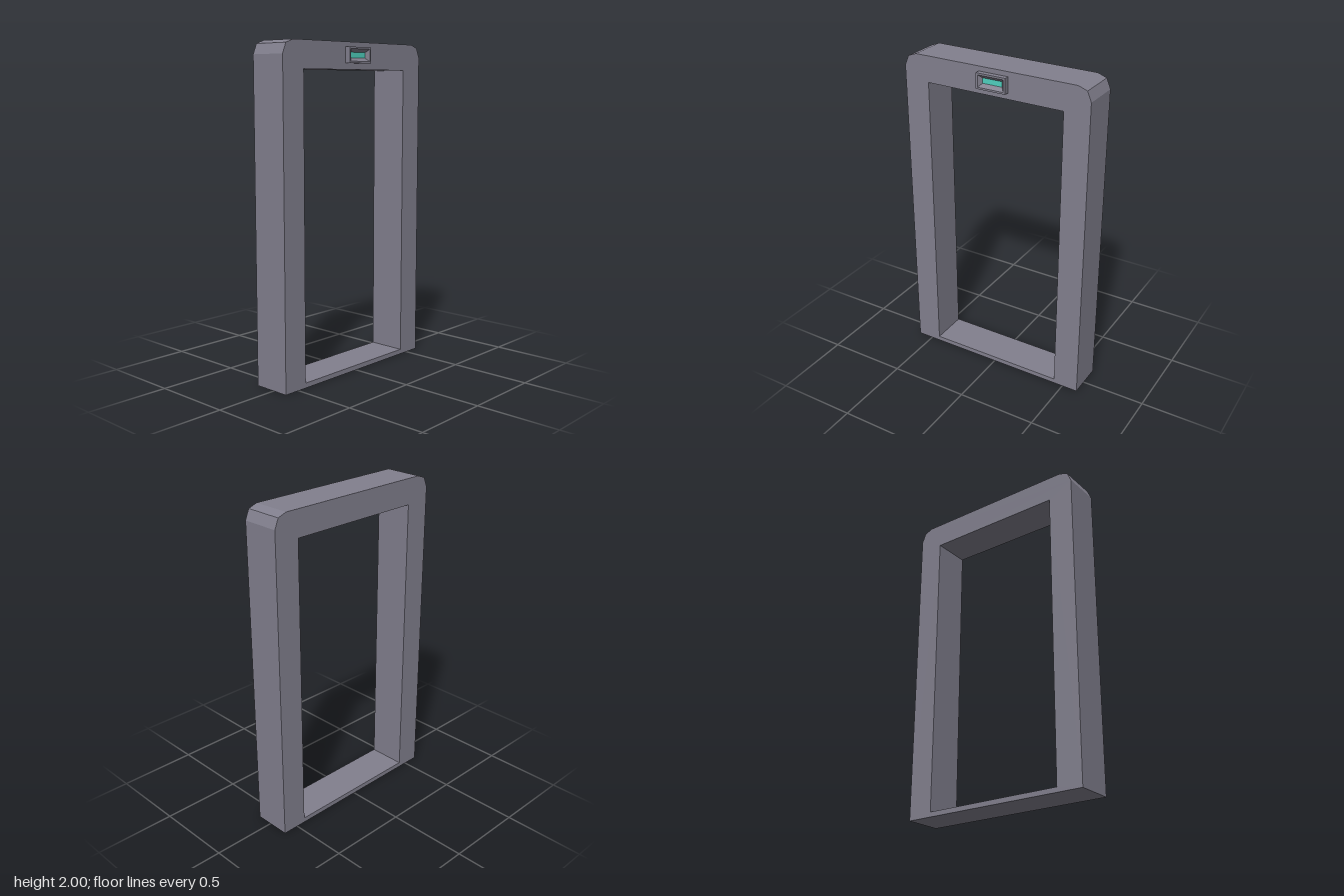
import * as THREE from 'three';

const frameGrey = new THREE.MeshStandardMaterial({ color: 0x817f8d });
frameGrey.name = 'frame grey';
const lampTeal = new THREE.MeshStandardMaterial({ color: 0x4fd0be });
lampTeal.name = 'lamp teal';

const BACK = -0.135, FRONT = 0.102; // frame faces along x
const LAMP_Y = 1.924;

// Rectangular rings [x, halfHeight, halfWidth] joined by flat quads
function loftRings(rings) {
  const corners = [[-1, -1], [1, -1], [1, 1], [-1, 1]];
  const point = ([x, h, w], i) => {
    const [sy, sz] = corners[i % 4];
    return [x, sy * h, sz * w];
  };
  const positions = [];
  for (let r = 0; r < rings.length - 1; r++) {
    for (let i = 0; i < 4; i++) {
      const a = point(rings[r], i), b = point(rings[r], i + 1);
      const c = point(rings[r + 1], i + 1), d = point(rings[r + 1], i);
      positions.push(...a, ...b, ...c, ...a, ...c, ...d);
    }
  }
  const geometry = new THREE.BufferGeometry();
  geometry.setAttribute('position', new THREE.Float32BufferAttribute(positions, 3));
  geometry.computeVertexNormals();
  return geometry;
}

function addMesh(group, name, geometry, material) {
  const mesh = new THREE.Mesh(geometry, material);
  mesh.name = name;
  group.add(mesh);
  return mesh;
}

export function createModel() {
  const model = new THREE.Group();
  model.name = 'doorFrame';

  // Door frame: chamfered outline with a rectangular opening
  const half = [[0.6, 0], [0.6, 1.92], [0.575, 1.98], [0.52, 2]];
  const outline = [...half, ...half.map(([u, y]) => [-u, y]).reverse()];
  const shape = new THREE.Shape(outline.map(([u, y]) => new THREE.Vector2(u, y)));
  const opening = [[-0.44, 0.03], [-0.44, 1.84], [0.44, 1.84], [0.44, 0.03]];
  shape.holes.push(new THREE.Path(opening.map(([u, y]) => new THREE.Vector2(u, y))));
  const frame = new THREE.ExtrudeGeometry(shape, { depth: FRONT - BACK, bevelEnabled: false });
  frame.rotateY(Math.PI / 2).translate(BACK, 0, 0);
  addMesh(model, 'frame', frame, frameGrey);

  // Lamp housing: outer walls, rim, then a sloping recess
  const housing = loftRings([
    [FRONT, 0.047, 0.095],
    [0.134, 0.047, 0.095],
    [0.134, 0.036, 0.083],
    [0.112, 0.016, 0.063],
  ]);
  addMesh(model, 'lampHousing', housing, frameGrey).position.y = LAMP_Y;

  // Indicator lamp at the bottom of the recess
  const lamp = new THREE.BoxGeometry(0.008, 0.032, 0.126);
  addMesh(model, 'indicatorLamp', lamp, lampTeal).position.set(0.108, LAMP_Y, 0);

  return model;
}
